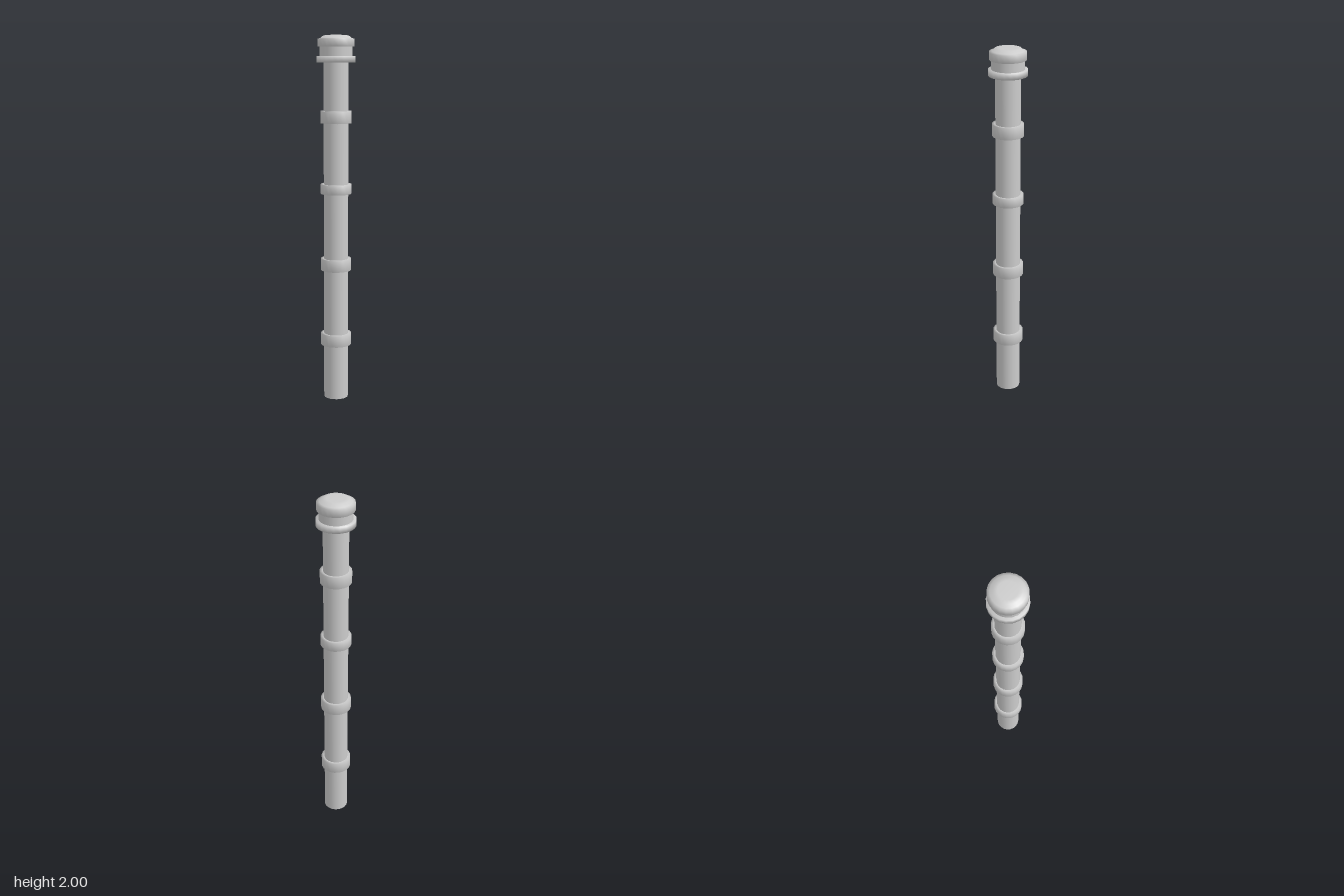
import * as THREE from 'three';

const SIDES = 20;
const SHAFT_R = 0.067;
const material = new THREE.MeshStandardMaterial({ color: 0xcccccc, side: THREE.DoubleSide });

// Smooth turned part from [radius, height] pairs, listed bottom to top
function turned(name, profile) {
  const points = profile.map(([r, y]) => new THREE.Vector2(r, y));
  const mesh = new THREE.Mesh(new THREE.LatheGeometry(points, SIDES), material);
  mesh.name = name;
  return mesh;
}

// Square-edged collar wrapped around the shaft
const collar = (name, r, y0, y1) =>
  turned(name, [[SHAFT_R, y0], [r, y0], [r, y1], [SHAFT_R, y1]]);

export function createModel() {
  const group = new THREE.Group();
  group.name = 'post';

  // Straight shaft with a flat base
  group.add(turned('shaft', [[SHAFT_R, 0], [SHAFT_R, 1.88]]));
  const base = new THREE.Mesh(new THREE.CircleGeometry(SHAFT_R, SIDES), material);
  base.name = 'shaftBase';
  base.rotation.x = Math.PI / 2;
  group.add(base);

  // Four bands along the shaft
  const bands = [[0.305, 0.369], [0.729, 0.793], [1.153, 1.205], [1.535, 1.6]];
  bands.forEach(([y0, y1], i) => group.add(collar(`band${i + 1}`, 0.084, y0, y1)));

  // Head: flange, recessed neck and domed cap
  group.add(collar('flange', 0.103, 1.857, 1.89));
  group.add(turned('neck', [[0.087, 1.885], [0.087, 1.945]]));
  group.add(turned('cap', [
    [0.08, 1.94], [0.098, 1.94], [0.098, 1.98], [0.083, 1.985], [0.068, 1.997], [0.048, 2], [0, 2],
  ]));
  return group;
}
